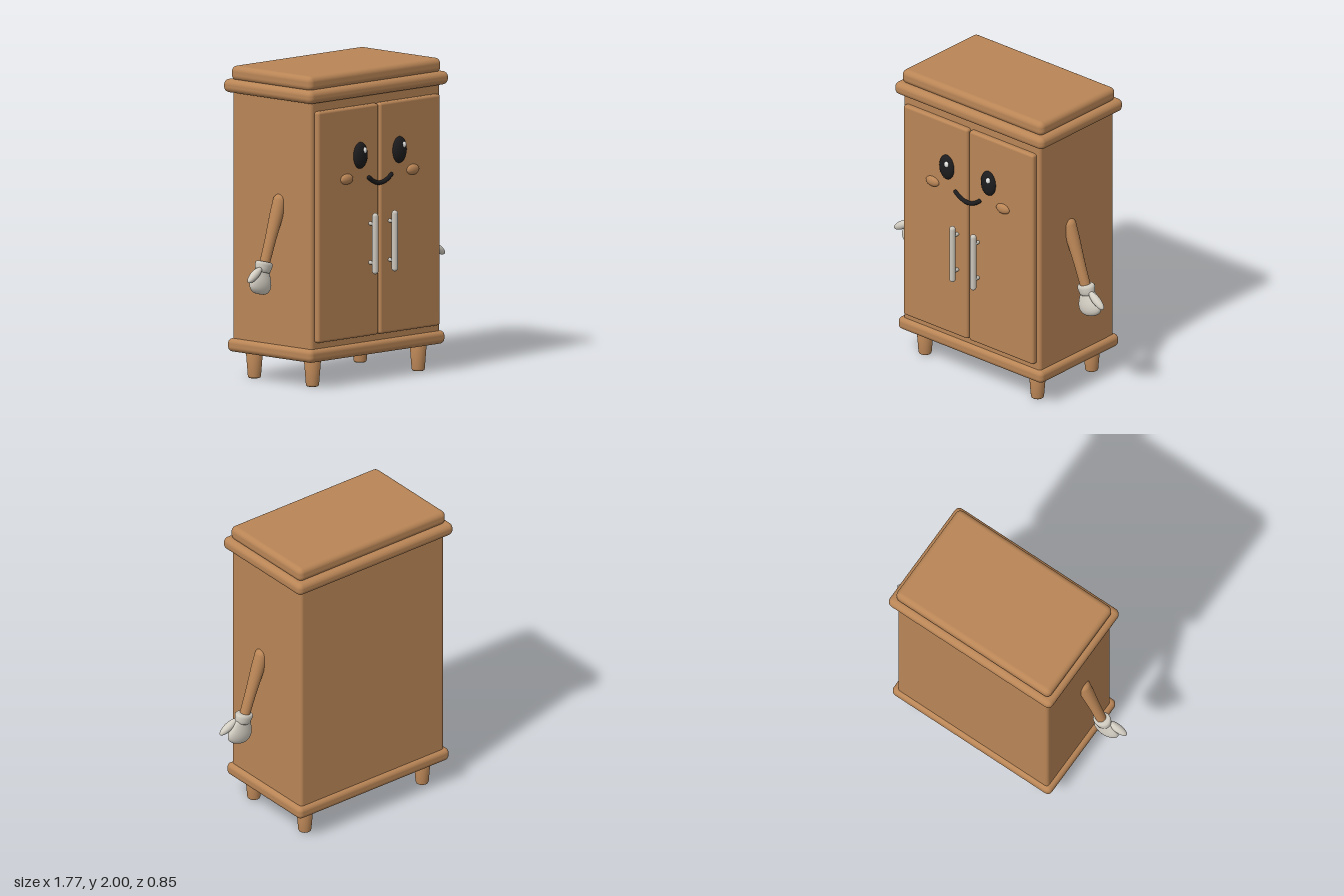
import * as THREE from 'three';
import { RoundedBoxGeometry } from 'three/addons/geometries/RoundedBoxGeometry.js';

export function createModel() {
  const model = new THREE.Group();
  model.name = 'wardrobe';

  const material = (name, color) => {
    const m = new THREE.MeshStandardMaterial({ color });
    m.name = name;
    return m;
  };
  const wood = material('wood', 0xb98556);
  const black = material('black', 0x1d1d1f);
  const metal = material('metal', 0xcbc6bc);
  const glove = material('glove', 0xd3cec3);
  const white = material('white', 0xf2f2f0);

  const add = (name, geometry, mat, x = 0, y = 0, z = 0, parent = model) => {
    const mesh = new THREE.Mesh(geometry, mat);
    mesh.name = name;
    mesh.position.set(x, y, z);
    parent.add(mesh);
    return mesh;
  };
  // Rounded box given by its limits
  const slab = (name, x0, x1, y0, y1, z0, z1, r) =>
    add(name, new RoundedBoxGeometry(x1 - x0, y1 - y0, z1 - z0, 4, r), wood,
      (x0 + x1) / 2, (y0 + y1) / 2, (z0 + z1) / 2);
  const ellipsoid = (name, mat, x, y, z, rx, ry, rz, parent) => {
    const g = new THREE.SphereGeometry(1, 32, 20);
    g.scale(rx, ry, rz);
    return add(name, g, mat, x, y, z, parent);
  };
  const lathe = (points, segments = 28) =>
    new THREE.LatheGeometry(points.map(([r, y]) => new THREE.Vector2(r, y)), segments);
  // Smooth lathe through a few control points, listed bottom to top
  const smoothLathe = (points) => new THREE.LatheGeometry(
    new THREE.SplineCurve(points.map(([r, y]) => new THREE.Vector2(r, y)))
      .getPoints(24).map((p) => new THREE.Vector2(Math.max(0, p.x), p.y)), 32);

  // Cabinet
  slab('body', -0.58, 0.58, 0.2, 1.86, -0.38, 0.325, 0.022);
  slab('base', -0.61, 0.61, 0.17, 0.255, -0.405, 0.35, 0.032);
  slab('cornice', -0.628, 0.628, 1.83, 1.915, -0.425, 0.366, 0.036);
  slab('topSlab', -0.595, 0.595, 1.905, 2.0, -0.388, 0.33, 0.036);

  // Tapered legs
  for (const x of [-0.475, 0.475]) {
    for (const z of [-0.286, 0.232]) {
      add('leg', lathe([[0, 0], [0.033, 0], [0.039, 0.004], [0.042, 0.012], [0.056, 0.19], [0, 0.19]]), wood, x, 0, z);
    }
  }

  for (const s of [-1, 1]) {
    // Door
    const inner = 0.006 * s, outer = 0.55 * s;
    slab('door', Math.min(inner, outer), Math.max(inner, outer), 0.295, 1.775, 0.3, 0.36, 0.017);

    // Handle with two standoffs
    const handle = new THREE.Group();
    handle.name = 'handle';
    handle.position.set(0.088 * s, 0.89, 0);
    model.add(handle);
    add('handleBar', new THREE.CapsuleGeometry(0.02, 0.352, 8, 20), metal, 0, 0, 0.408, handle);
    for (const y of [-0.125, 0.125]) {
      add('handleStandoff', new THREE.CylinderGeometry(0.012, 0.012, 0.06, 16), metal, 0, y, 0.378, handle)
        .rotation.x = Math.PI / 2;
    }

    // Face
    ellipsoid('eye', black, 0.176 * s, 1.46, 0.36, 0.06, 0.085, 0.032);
    ellipsoid('eyeHighlight', white, 0.176 * s + 0.018, 1.493, 0.386, 0.016, 0.02, 0.012);
    ellipsoid('cheek', wood, 0.297 * s, 1.32, 0.36, 0.054, 0.034, 0.024);

    // Arm: tapered, rounded at the shoulder
    const shoulder = new THREE.Vector3(0.57 * s, 1.177, 0.035);
    const wrist = new THREE.Vector3(0.712 * s, 0.775, 0.035);
    const length = shoulder.distanceTo(wrist);
    const profile = [[0.033, -length], [0.036, -length * 0.6], [0.044, -length * 0.2]];
    for (let i = 0; i <= 8; i++) {
      const a = (i / 8) * Math.PI / 2;
      profile.push([0.045 * Math.cos(a), 0.045 * Math.sin(a)]);
    }
    const tilt = Math.atan2(wrist.x - shoulder.x, shoulder.y - wrist.y);
    add('arm', lathe(profile), wood, shoulder.x, shoulder.y, shoulder.z).rotation.z = tilt;

    // Gloved hand
    const hand = new THREE.Group();
    hand.name = 'hand';
    hand.position.set(0.717 * s, 0.768, 0.035);
    hand.rotation.z = 0.26 * s;
    model.add(hand);
    const cuff = add('cuff', lathe([[0, -0.034], [0.045, -0.034], [0.055, -0.026], [0.058, -0.01],
      [0.063, 0.012], [0.062, 0.026], [0.054, 0.034], [0, 0.034]]), glove, 0, 0, 0, hand);
    cuff.scale.z = 0.78;
    const palm = add('palm', smoothLathe([[0, -0.175], [0.05, -0.17], [0.082, -0.145], [0.09, -0.105],
      [0.074, -0.055], [0.05, -0.01], [0, 0]]), glove, 0, 0, -0.008, hand);
    palm.scale.z = 0.46;
    palm.rotation.x = -0.08;
    const thumb = ellipsoid('thumb', glove, 0.088 * s, -0.064, 0.022, 0.027, 0.075, 0.027, hand);
    thumb.rotation.z = 0.75 * s;
    thumb.rotation.x = -0.12;
  }

  // Smile
  const smile = new THREE.QuadraticBezierCurve3(
    new THREE.Vector3(-0.1, 1.31, 0.364), new THREE.Vector3(0, 1.225, 0.364), new THREE.Vector3(0.1, 1.31, 0.364));
  add('mouth', new THREE.TubeGeometry(smile, 32, 0.014, 12), black);
  for (const x of [-0.1, 0.1]) ellipsoid('mouthEnd', black, x, 1.31, 0.364, 0.014, 0.014, 0.014);

  return model;
}
